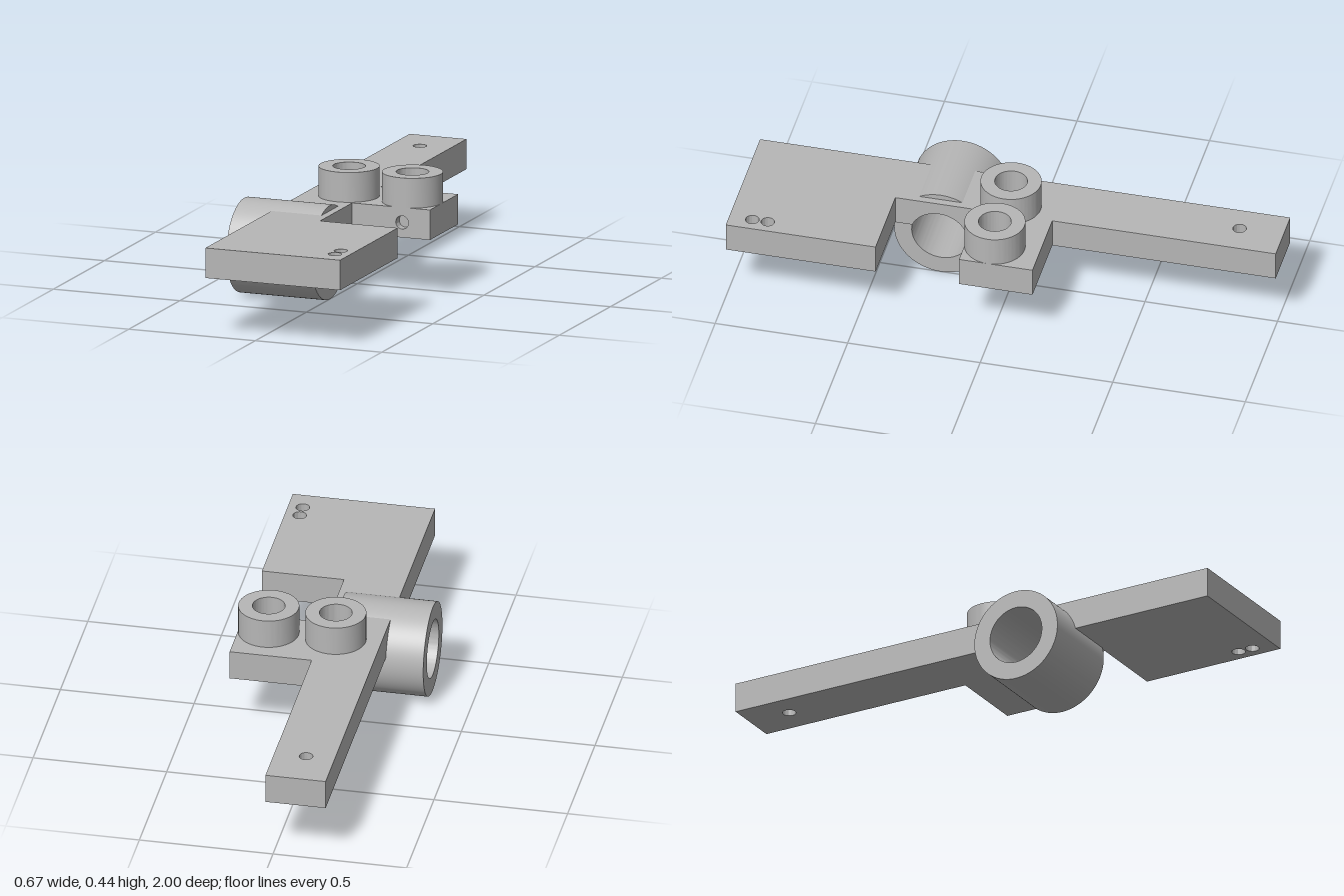
import * as THREE from 'three';
import { toCreasedNormals } from 'three/addons/utils/BufferGeometryUtils.js';

const X0 = -0.197, X1 = 0.028, X2 = 0.335; // strip left, strip right, tab right
const Y0 = 0.22, Y1 = 0.333, BORE_FLOOR = 0.25;
const TUBE = { y: 0.177, z: 0.27, outer: 0.176, inner: 0.11 };
const BOSSES = [[-0.028, 0.012], [0.223, 0.012]];
const BOSS_R = 0.112, BOSS_BORE = 0.06, PIN_R = 0.025;

function addHole(shape, x, y, r) {
  const hole = new THREE.Path();
  hole.absarc(x, y, r, 0, Math.PI * 2, true);
  shape.holes.push(hole);
}

function polygon(points) {
  return new THREE.Shape(points.map(([x, y]) => new THREE.Vector2(x, y)));
}

function ring(x, y, outer, inner) {
  const shape = new THREE.Shape();
  shape.absarc(x, y, outer, 0, Math.PI * 2, false);
  addHole(shape, x, y, inner);
  return shape;
}

function extrude(shape, depth) {
  return new THREE.ExtrudeGeometry(shape, { depth, bevelEnabled: false, curveSegments: 48 });
}

export function createModel() {
  const group = new THREE.Group();
  const steel = new THREE.MeshStandardMaterial({ color: 0xb6b6b6 });
  steel.name = 'grey metal';

  const add = (name, geometry) => {
    const mesh = new THREE.Mesh(toCreasedNormals(geometry, 0.5), steel);
    mesh.name = name;
    group.add(mesh);
  };
  // Plan shape (x, -z) raised from bottom to top
  const addFlat = (name, shape, bottom, top) =>
    add(name, extrude(shape, top - bottom).rotateX(-Math.PI / 2).translate(0, bottom, 0));
  // Side shape (-z, y) swept along x
  const addAlongX = (name, shape, from, to) =>
    add(name, extrude(shape, to - from).rotateY(Math.PI / 2).translate(from, 0, 0));

  // Rear arm with the boss tab: solid base below, blind bores above
  const tabCut = 0.085, tabFront = 0.12;
  for (const [name, bottom, top, bored] of [
    ['armBase', Y0, BORE_FLOOR, false],
    ['armTop', BORE_FLOOR, Y1, true],
  ]) {
    const arm = polygon([[X0, -tabCut], [X2, -tabCut], [X2, 0.157], [X1, 0.157], [X1, 1], [X0, 1]]);
    addHole(arm, -0.09, 0.835, PIN_R);
    if (bored) BOSSES.forEach(([x, z]) => addHole(arm, x, -z, BOSS_BORE));
    addFlat(name, arm, bottom, top);
  }

  // Front slab of the tab with its screw hole
  const slab = polygon([[X0, Y0], [X2, Y0], [X2, Y1], [X0, Y1]]);
  addHole(slab, 0.225, (Y0 + Y1) / 2, PIN_R);
  add('tabFront', extrude(slab, tabFront - tabCut).translate(0, 0, tabCut));

  // Bridge over the tube, with the tube bore cut into its underside
  const padBack = 0.435;
  const a = Math.asin((Y0 - TUBE.y) / TUBE.inner);
  const half = TUBE.inner * Math.cos(a);
  const bridge = new THREE.Shape();
  bridge.moveTo(-padBack, Y0);
  bridge.lineTo(-TUBE.z - half, Y0);
  bridge.absarc(-TUBE.z, TUBE.y, TUBE.inner, Math.PI - a, a, true);
  bridge.lineTo(-tabFront, Y0);
  bridge.lineTo(-tabFront, Y1);
  bridge.lineTo(-padBack, Y1);
  addAlongX('bridge', bridge, X0, X1);

  // Front pad with a pair of pin holes
  const pad = polygon([[X0, -1], [X2, -1], [X2, -padBack], [X0, -padBack]]);
  addHole(pad, 0.28, -0.855, PIN_R);
  addHole(pad, 0.28, -0.913, PIN_R);
  addFlat('frontPad', pad, Y0, Y1);

  // Cross tube
  addAlongX('tube', ring(-TUBE.z, TUBE.y, TUBE.outer, TUBE.inner), -0.338, 0);

  // Bosses
  BOSSES.forEach(([x, z], i) =>
    addFlat(i ? 'leftBoss' : 'rightBoss', ring(x, -z, BOSS_R, BOSS_BORE), Y1, 0.445));

  return group;
}
